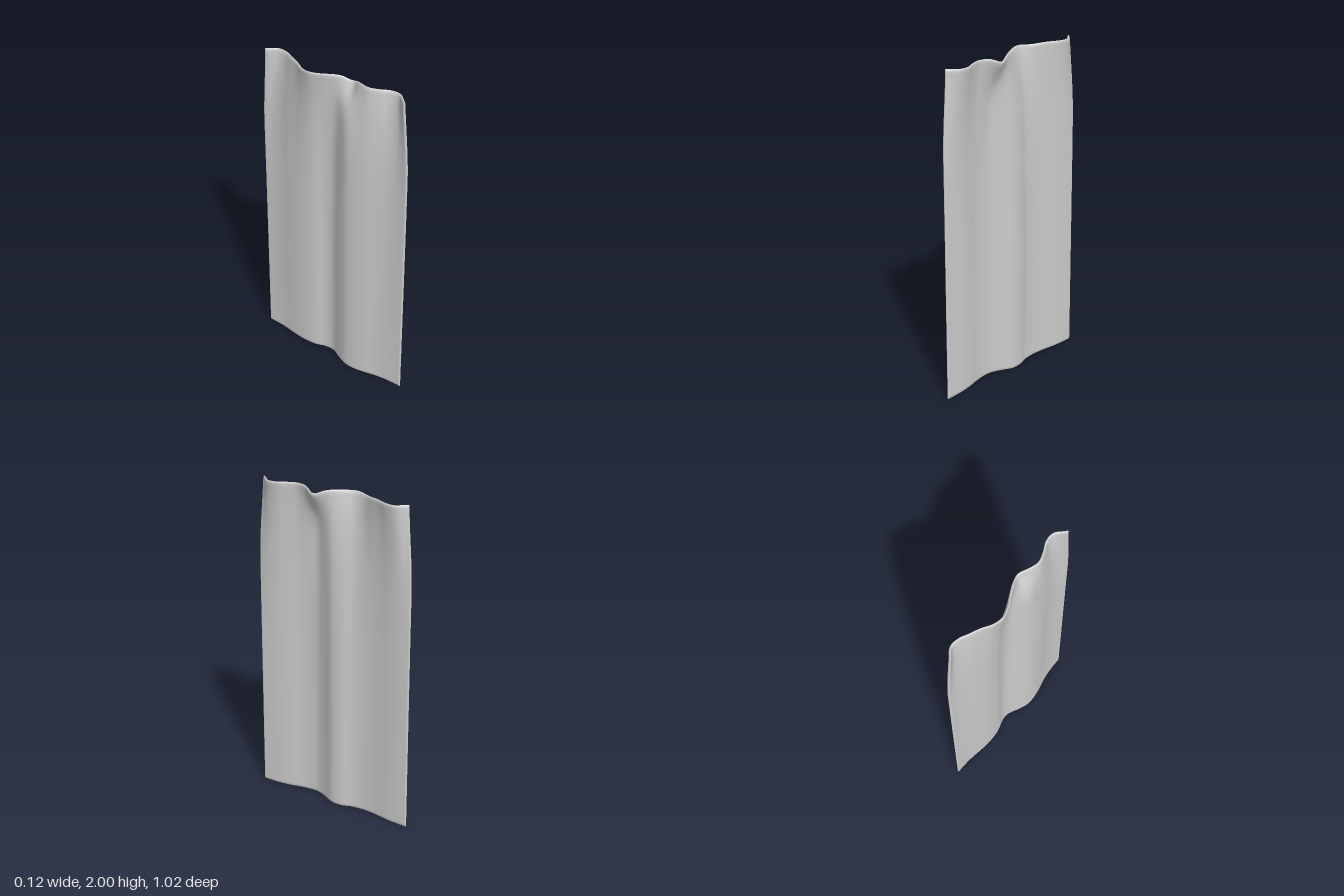
import * as THREE from 'three';
import { mergeGeometries, mergeVertices } from 'three/addons/utils/BufferGeometryUtils.js';

// Fold depth (x) at even steps across the width, from -z to +z
const spline = (xs) => new THREE.SplineCurve(xs.map((x, i) => new THREE.Vector2(i, x)));
const hemFolds = spline([.013, .013, .009, 0, -.007, -.008, 0, .021, .021, -.008, -.032, -.034, -.024, -.008, .003, .008, .01]);
const topFolds = spline([0, .044, .042, .016, -.008, -.04, -.054, -.036, -.002, .03, .048, .018, .004, .022, .05, .048, 0]);

const { smoothstep } = THREE.MathUtils;
const bump = (s, centre, width) => Math.exp(-(((s - centre) / width) ** 2));

// Half width narrows gently, then faster towards the top
const halfWidth = (y) => 0.508 - 0.009 * y - 0.03 * smoothstep(y, 1.5, 2.15) * 1.15;

// Gathered top folds fade into the hanging folds; the pinched one fades fastest
function depth(s, y) {
  const pinch = bump(s, 0.61, 0.09);
  const d = 2 - y;
  const loose = Math.exp(-d / 0.27);
  const tight = Math.exp(-((d / 0.12) ** 1.5));
  const w = loose + (tight - loose) * pinch;
  const low = hemFolds.getPoint(s).y;
  return low + (topFolds.getPoint(s).y - low) * w;
}

// Rounded rim: thickness closes to nothing at every border
const rim = (d, r) => Math.sqrt(Math.max(0, 1 - (1 - Math.min(1, d / r)) ** 2));

// One face of the cloth: side = 1 faces +x, side = -1 faces -x
function sheet(side) {
  const geometry = new THREE.PlaneGeometry(1, 1, 110, 72);
  const p = geometry.attributes.position;
  const ease = (t) => (1 - Math.cos(Math.PI * t)) / 2;
  for (let i = 0; i < p.count; i++) {
    const s = ease(0.5 - side * p.getX(i));
    const y = 2 * ease(p.getY(i) + 0.5);
    const half = halfWidth(y);
    const x = depth(s, y);
    const a = Math.max(0, s - 0.004), b = Math.min(1, s + 0.004);
    const slope = (depth(b, y) - depth(a, y)) / ((b - a) * 2 * half);
    const edge = rim(Math.min(s, 1 - s) * 2 * half, 0.01) * rim(Math.min(y, 2 - y), 0.02);
    const t = side * 0.0075 * edge / Math.hypot(1, slope);
    const sag = (0.025 * bump(s, 0.61, 0.05) + 0.006 * bump(s, 0.3, 0.05)) * smoothstep(y, 1.7, 2);
    p.setXYZ(i, x + t, y - sag, (s * 2 - 1) * half - slope * t);
  }
  geometry.deleteAttribute('uv');
  geometry.deleteAttribute('normal');
  return geometry;
}

export function createModel() {
  const group = new THREE.Group();
  group.name = 'curtain';
  const geometry = mergeVertices(mergeGeometries([sheet(1), sheet(-1)]), 1e-5);
  geometry.computeVertexNormals();
  const cloth = new THREE.Mesh(
    geometry,
    new THREE.MeshStandardMaterial({ color: 0xcccccc, side: THREE.DoubleSide })
  );
  cloth.name = 'curtainCloth';
  group.add(cloth);
  return group;
}
